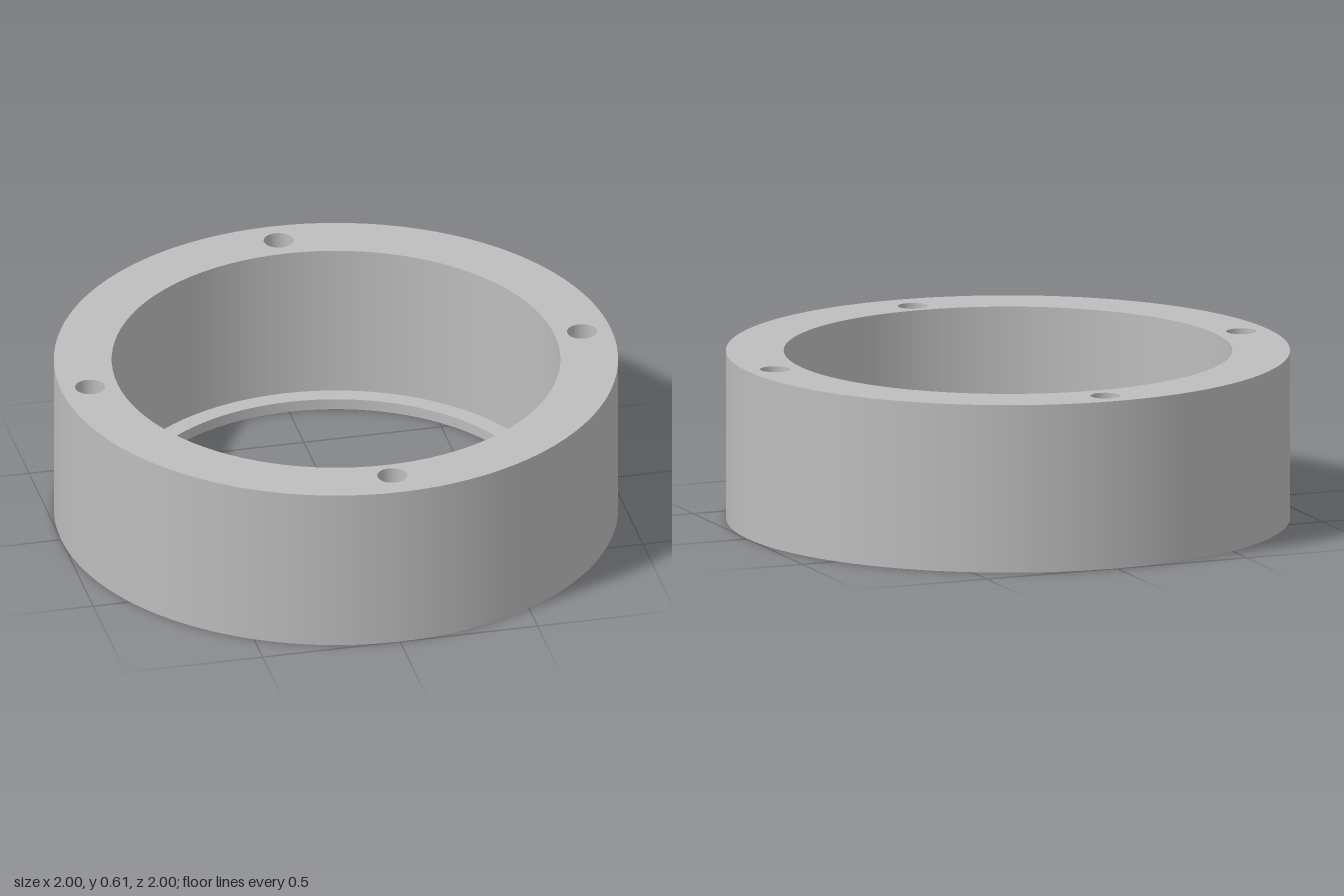
import * as THREE from 'three';

const SEG = 96, HOLE_SEG = 32;
const HEIGHT = 0.605, LIP = 0.04, SINK = 0.02;
const OUTER = 1, BORE = 0.795, LIP_R = 0.73;
const HOLE = 0.053, HOLE_RIM = 0.062;
// screw hole centres [x, z]
const HOLES = [[0.895, 0], [-0.895, 0], [0, 0.875], [0, -0.895]];

export function createModel() {
  const group = new THREE.Group();
  const metal = new THREE.MeshStandardMaterial({ color: 0xbdbdbd });
  metal.name = 'grey metal';

  const add = (name, geometry, x = 0, z = 0) => {
    const mesh = new THREE.Mesh(geometry, metal);
    mesh.name = name;
    mesh.position.set(x, 0, z);
    group.add(mesh);
  };

  // Round wall from one [radius, y] to another: upward faces out, downward faces in
  const wall = (from, to, segments = SEG) =>
    new THREE.LatheGeometry([new THREE.Vector2(...from), new THREE.Vector2(...to)], segments);

  // Flat ring at height y, facing up or down, with optional screw holes
  const ring = (outer, inner, y, up, holeRadius = 0) => {
    const shape = new THREE.Shape().absarc(0, 0, outer, 0, Math.PI * 2);
    const cut = (x, z, r) => shape.holes.push(
      new THREE.Path().absarc(x, up ? -z : z, r, 0, Math.PI * 2, true));
    cut(0, 0, inner);
    if (holeRadius) HOLES.forEach(([x, z]) => cut(x, z, holeRadius));
    return new THREE.ShapeGeometry(shape, SEG / 2)
      .rotateX(up ? -Math.PI / 2 : Math.PI / 2)
      .translate(0, y, 0);
  };

  // Ring body
  add('outerWall', wall([OUTER, 0], [OUTER, HEIGHT]));
  add('boreWall', wall([BORE, HEIGHT], [BORE, LIP]));
  add('topFace', ring(OUTER, BORE, HEIGHT, true, HOLE));
  add('bottomFace', ring(OUTER, LIP_R, 0, false, HOLE_RIM));

  // Inner lip at the base
  add('lipLedge', ring(BORE, LIP_R, LIP, true));
  add('lipWall', wall([LIP_R, LIP], [LIP_R, 0]));

  // Through holes, slightly flared underneath
  for (const [x, z] of HOLES) {
    add('screwHole', wall([HOLE, HEIGHT], [HOLE, SINK], HOLE_SEG), x, z);
    add('screwHoleFlare', wall([HOLE, SINK], [HOLE_RIM, 0], HOLE_SEG), x, z);
  }

  return group;
}
